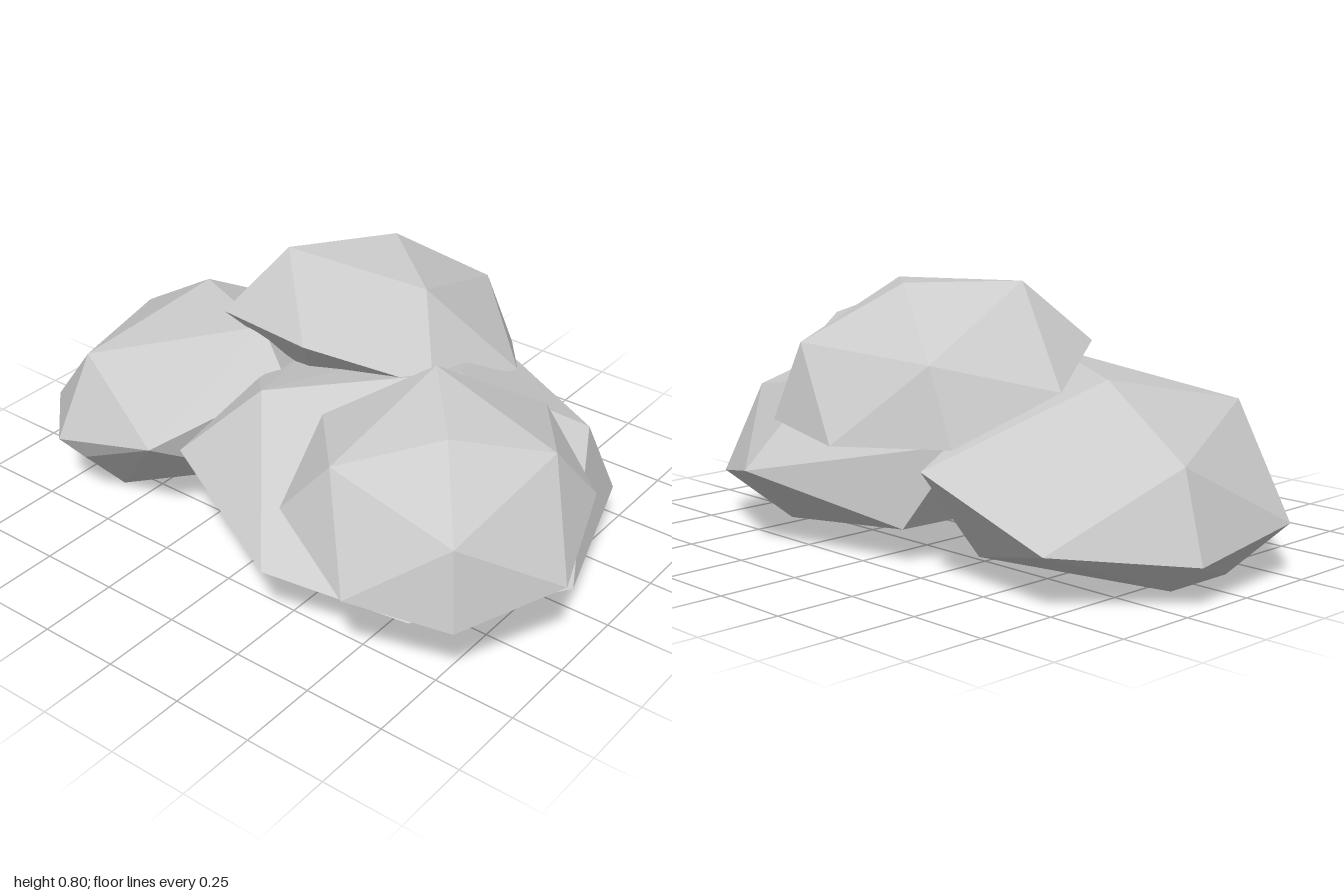
import * as THREE from 'three';
import { ConvexGeometry } from 'three/addons/geometries/ConvexGeometry.js';

const material = new THREE.MeshStandardMaterial({ color: 0xcccccc, flatShading: true });

// A faceted boulder wrapped around a few corner points
function boulder(name, corners) {
  const points = corners.map(([x, y, z]) => new THREE.Vector3(x, y, z));
  const mesh = new THREE.Mesh(new ConvexGeometry(points), material);
  mesh.name = name;
  return mesh;
}

export function createModel() {
  const group = new THREE.Group();
  group.name = 'rockPile';

  // Broad boulder on the -x side
  group.add(boulder('sideBoulder', [
    [-0.91, 0.37, -0.16], [-0.69, 0.46, 0.35], [-0.6, 0.56, -0.12], [-0.22, 0.59, 0.06],
    [-1, 0.12, -0.19], [-0.97, 0.16, 0.23], [-0.68, 0.23, 0.51], [-0.28, 0.35, 0.52],
    [-0.6, 0.18, 0.48], [-0.74, 0.16, -0.52], [-0.34, 0.33, -0.58], [-0.08, 0.47, 0.12],
    [-0.82, 0, -0.1], [-0.82, 0, 0.14], [-0.6, 0, 0.32], [-0.47, 0, 0.05],
    [-0.36, 0.06, -0.38], [-0.18, 0.16, 0.2],
  ]));

  // Large flat boulder carrying the others
  group.add(boulder('baseBoulder', [
    [0, 0.57, 0.33], [0.42, 0.6, -0.06], [-0.13, 0.5, 0.19], [0.72, 0.41, -0.31],
    [0.25, 0.22, 0.64], [-0.22, 0.34, 0.45], [0.64, 0.13, 0.48], [0.89, 0.09, 0.02],
    [0.75, 0.14, -0.44], [0.33, 0.24, -0.67], [0.24, 0.5, -0.47], [-0.29, 0.37, -0.38],
    [0.22, 0, 0.3], [0.55, 0, -0.33], [-0.12, 0.09, 0.32], [-0.13, 0.11, -0.46],
  ]));

  // Rounder boulder leaning on the front
  group.add(boulder('frontBoulder', [
    [0.46, 0.72, 0.12], [0.66, 0.67, 0.35], [0.86, 0.59, 0.12], [0.81, 0.48, 0.53],
    [0.42, 0.59, 0.55], [0.2, 0.55, 0.3], [0.65, 0.53, -0.17], [0.91, 0.4, -0.03],
    [1, 0.29, 0.26], [0.84, 0.24, 0.56], [0.56, 0.29, 0.68], [0.27, 0.41, 0.58],
    [0.36, 0.5, -0.05], [0.74, 0.12, 0.41], [0.75, 0.24, -0.01], [0.42, 0.25, 0.35],
  ]));

  // Boulder resting on top towards the back
  group.add(boulder('topBoulder', [
    [-0.23, 0.8, -0.08], [0.24, 0.78, -0.14], [-0.03, 0.8, -0.36], [0.05, 0.67, 0.2],
    [0.17, 0.63, -0.58], [-0.31, 0.61, -0.52], [-0.34, 0.62, 0.1], [0.37, 0.56, 0],
    [-0.5, 0.52, -0.2], [0.45, 0.5, -0.33], [0.25, 0.4, -0.62], [-0.09, 0.38, -0.69],
    [-0.4, 0.39, -0.52], [0, 0.35, -0.3], [-0.08, 0.45, 0],
  ]));

  return group;
}
